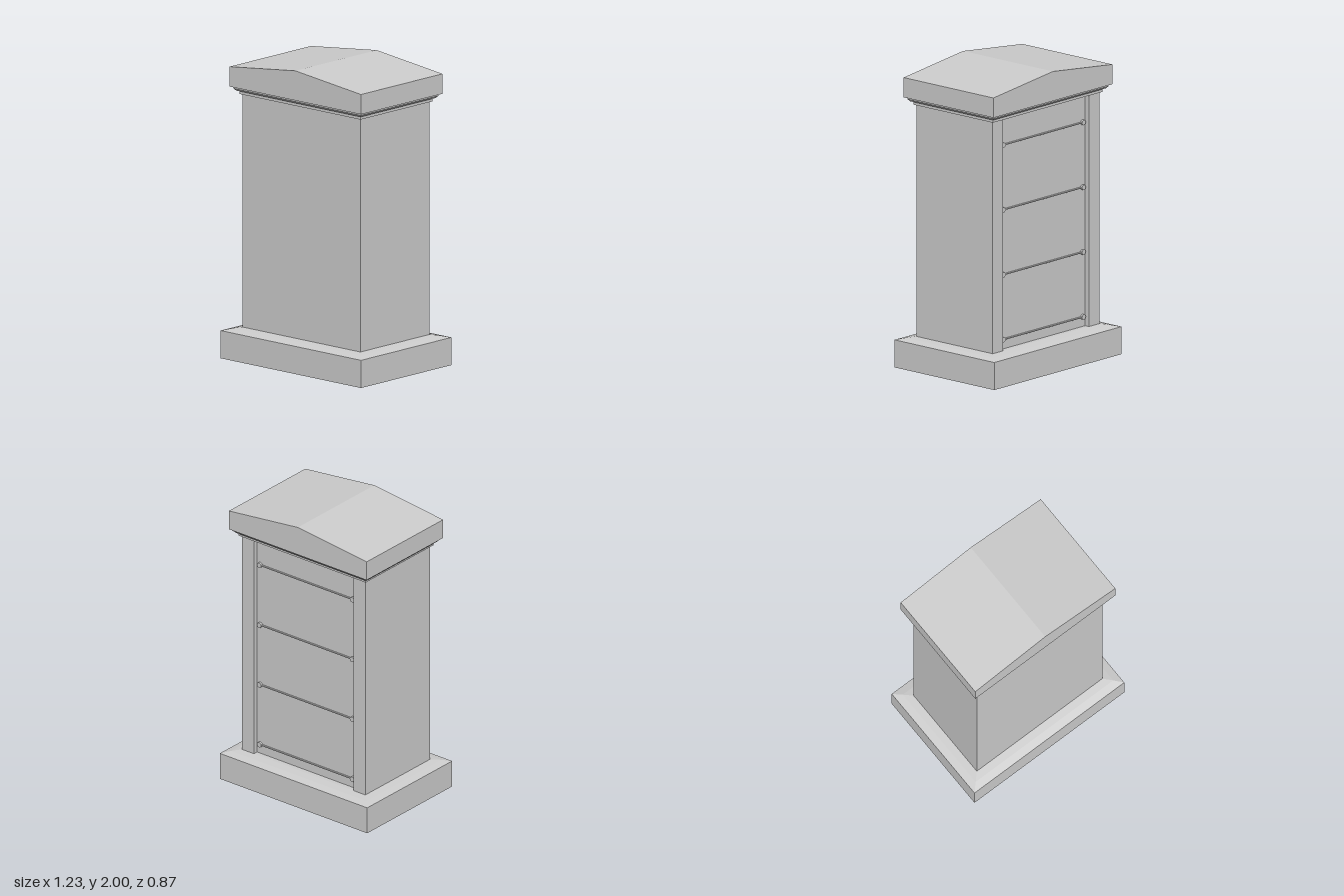
import * as THREE from 'three';

const material = new THREE.MeshStandardMaterial({ color: 0xcccccc, flatShading: true });

// Stacks rectangles [halfWidth, halfDepth, y] into a closed, flat-faced moulding.
function rectLoft(levels) {
  const signs = [[-1, 1], [1, 1], [1, -1], [-1, -1]];
  const rings = levels.map(([hx, hz, y]) => signs.map(([sx, sz]) => [sx * hx, y, sz * hz]));
  const positions = [];
  const quad = (a, b, c, d) => positions.push(...a, ...b, ...c, ...a, ...c, ...d);
  for (let i = 0; i < rings.length - 1; i++) {
    for (let k = 0; k < 4; k++) {
      const n = (k + 1) % 4;
      quad(rings[i][k], rings[i][n], rings[i + 1][n], rings[i + 1][k]);
    }
  }
  const [a, b, c, d] = rings[0];
  quad(d, c, b, a);
  quad(...rings[rings.length - 1]);
  const geometry = new THREE.BufferGeometry();
  geometry.setAttribute('position', new THREE.Float32BufferAttribute(positions, 3));
  geometry.computeVertexNormals();
  return geometry;
}

const polygon = (points) => new THREE.Shape(points.map(([x, y]) => new THREE.Vector2(x, y)));

export function createModel() {
  const model = new THREE.Group();
  model.name = 'pedestal';
  const add = (name, geometry, parent = model) => {
    const mesh = new THREE.Mesh(geometry, material);
    mesh.name = name;
    parent.add(mesh);
    return mesh;
  };

  const hx = 0.515, hz = 0.33;          // shaft half width and half depth
  const inner = 0.415, recess = 0.033;  // back recess half width and depth

  // Plinth with a softly sloped top
  add('plinth', rectLoft([
    [0.615, 0.433, 0], [0.615, 0.433, 0.184],
    [0.565, 0.381, 0.197], [hx, hz, 0.205],
  ]));

  // Shaft: plan outline with a shallow recess between two pilasters at the back
  const shaft = new THREE.ExtrudeGeometry(polygon([
    [-hx, -hz], [hx, -hz], [hx, hz], [inner, hz], [inner, hz - recess],
    [-inner, hz - recess], [-inner, hz], [-hx, hz],
  ]), { depth: 1.56, bevelEnabled: false });
  shaft.rotateX(-Math.PI / 2);
  shaft.translate(0, 0.2, 0);
  add('shaft', shaft);

  // Horizontal rods held by round studs in the recess
  const panelZ = -(hz - recess);
  for (let i = 0; i < 4; i++) {
    const rail = new THREE.Group();
    rail.name = 'backRail';
    rail.position.set(0, 0.27 + i * 0.433, panelZ);
    model.add(rail);
    const rod = add('rod', new THREE.CylinderGeometry(0.006, 0.006, 0.77, 8), rail);
    rod.rotation.z = Math.PI / 2;
    rod.position.z = -0.004;
    for (const side of [-1, 1]) {
      const stud = add('stud', new THREE.CylinderGeometry(0.018, 0.018, 0.02, 12), rail);
      stud.rotation.x = Math.PI / 2;
      stud.position.set(side * 0.388, 0, -0.004);
    }
  }

  // Stepped moulding under the cap
  add('cornice', rectLoft([
    [0.53, 0.345, 1.753], [0.53, 0.345, 1.776], [0.545, 0.36, 1.776],
    [0.55, 0.366, 1.783], [0.558, 0.373, 1.79], [0.558, 0.373, 1.805],
  ]));

  // Low gabled cap
  const cap = new THREE.ExtrudeGeometry(polygon([
    [-0.575, 1.803], [0.575, 1.803], [0.575, 1.935], [0, 2], [-0.575, 1.935],
  ]), { depth: 0.78, bevelEnabled: false });
  cap.translate(0, 0, -0.39);
  add('cap', cap);

  return model;
}
